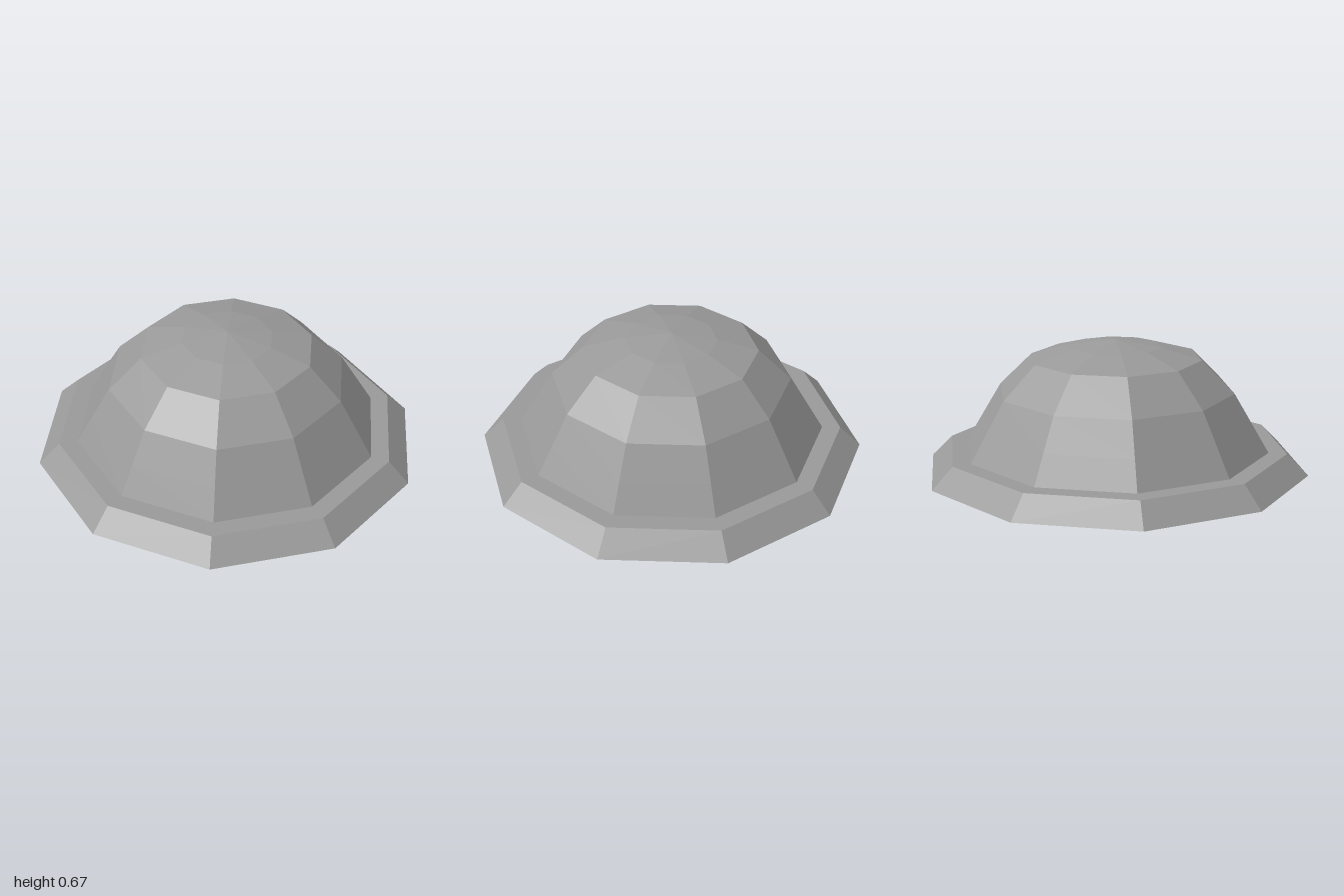
import * as THREE from 'three';

const SIDES = 10;
const START = Math.PI / 2; // puts a corner on the x axis

// Give every facet its own normal
function faceted(geometry) {
  const flat = geometry.toNonIndexed();
  flat.computeVertexNormals();
  return flat;
}

export function createModel() {
  const group = new THREE.Group();
  group.name = 'facetedDome';
  const grey = new THREE.MeshStandardMaterial({ color: 0x999999 });
  grey.name = 'grey';

  const add = (name, geometry, y) => {
    const mesh = new THREE.Mesh(faceted(geometry), grey);
    mesh.name = name;
    mesh.position.y = y;
    group.add(mesh);
  };

  // Bevelled ten-sided plinth
  add('base', new THREE.CylinderGeometry(0.89, 1, 0.11, SIDES, 1, false, START), 0.055);

  // Curved dome wall, bottom to top
  const profile = [[0.795, 0.11], [0.712, 0.25], [0.615, 0.413], [0.445, 0.58], [0.235, 0.638]]
    .map(([r, y]) => new THREE.Vector2(r, y));
  add('dome', new THREE.LatheGeometry(profile, SIDES, START), 0);

  // Shallow pointed cap
  add('cap', new THREE.ConeGeometry(0.235, 0.036, SIDES, 1, true, START), 0.656);

  return group;
}
